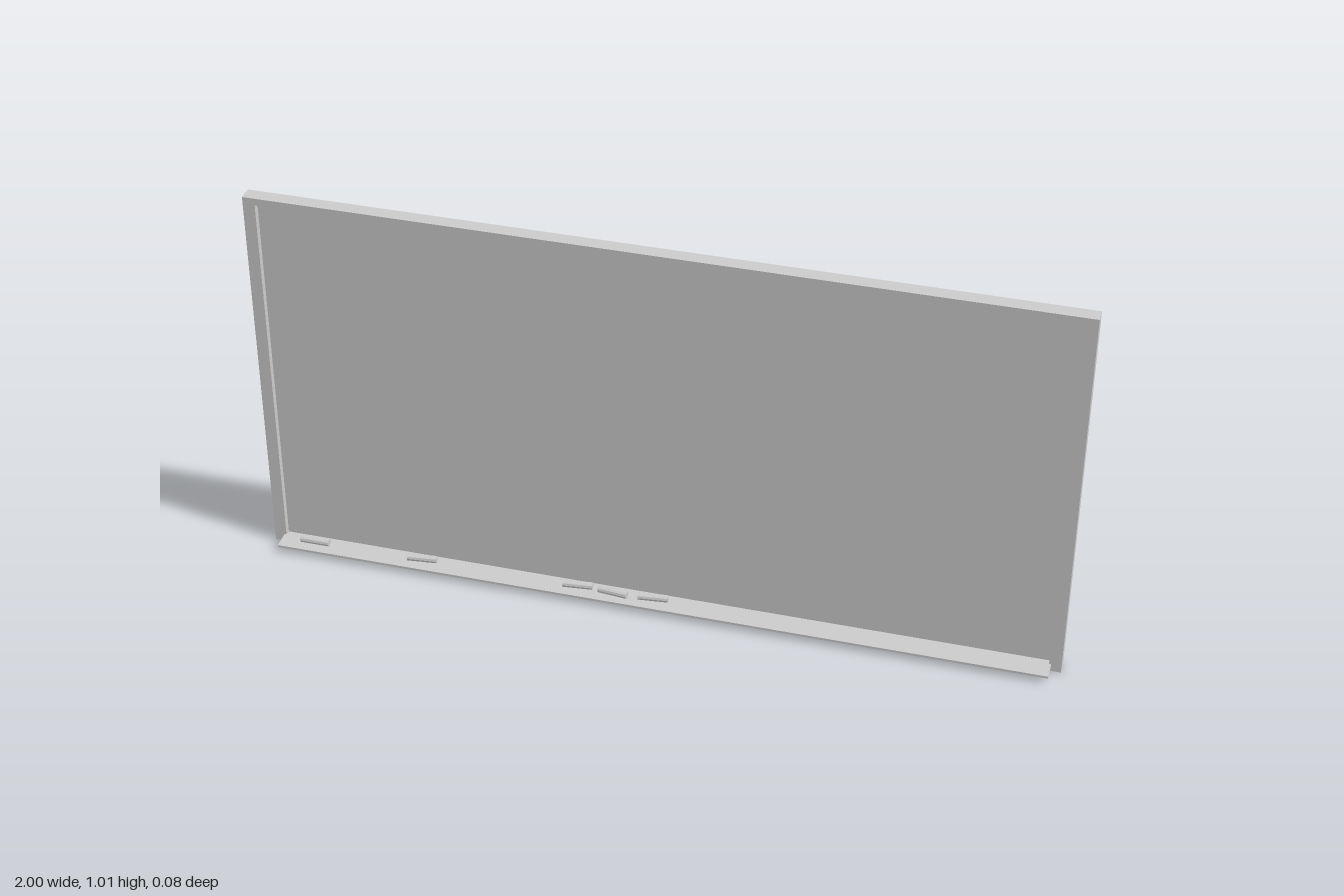
import * as THREE from 'three';

export function createModel() {
  const group = new THREE.Group();
  const mat = new THREE.MeshStandardMaterial({ color: 0xcccccc, flatShading: true });
  const add = (name, geometry, x, y, z) => {
    const mesh = new THREE.Mesh(geometry, mat);
    mesh.name = name;
    mesh.position.set(x, y, z);
    group.add(mesh);
    return mesh;
  };

  const H = 1.007, back = -0.041, front = -0.005;

  // Frame: rectangular ring around the writing surface
  const outline = new THREE.Shape([[-1, 0], [1, 0], [1, H], [-1, H]].map(p => new THREE.Vector2(...p)));
  outline.holes.push(new THREE.Path(
    [[-0.97, 0.018], [-0.97, H - 0.018], [0.97, H - 0.018], [0.97, 0.018]].map(p => new THREE.Vector2(...p))));
  add('frame', new THREE.ExtrudeGeometry(outline, { depth: front - back, bevelEnabled: false }), 0, 0, back);

  // Recessed writing panel, flush with the back of the frame
  const panelDepth = 0.02;
  add('writingPanel', new THREE.BoxGeometry(1.94, H - 0.036, panelDepth), 0, H / 2, back + panelDepth / 2);

  // Thin chalk ledge
  add('chalkLedge', new THREE.BoxGeometry(1.95, 0.006, 0.054), 0, 0.018, 0.016);

  // Chalk sticks: x, z, turn about the vertical axis
  const sticks = [
    [-0.885, 0.012, 0], [-0.602, 0.01, 0.1], [-0.197, 0.01, 0.1],
    [-0.106, 0.015, -0.1], [-0.005, 0.01, 0.1],
  ];
  const chalk = new THREE.CylinderGeometry(0.0095, 0.0095, 0.075, 10).rotateZ(Math.PI / 2);
  for (const [x, z, turn] of sticks) add('chalkStick', chalk, x, 0.0305, z).rotation.y = turn;

  return group;
}
